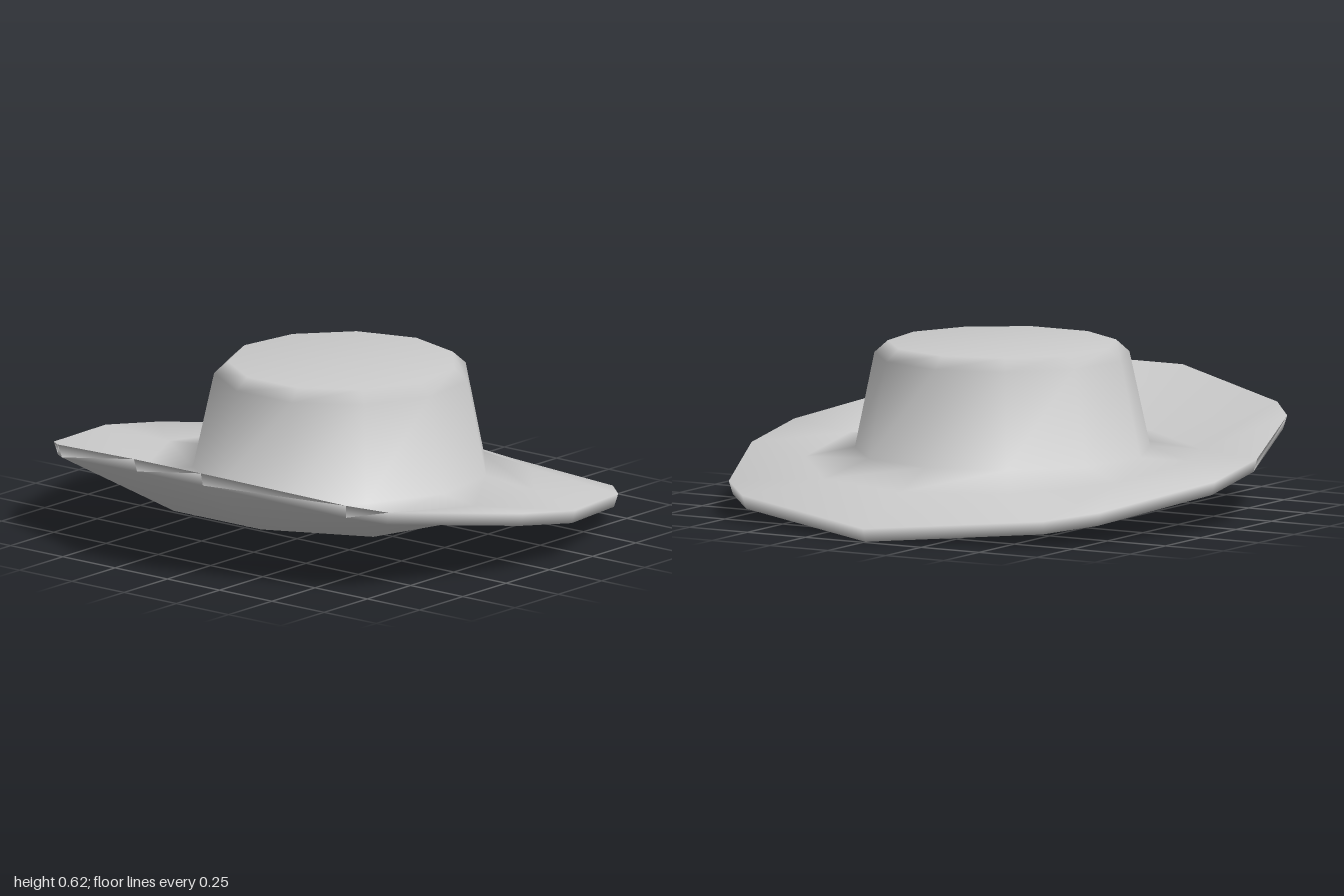
import * as THREE from 'three';

const STEP = 360 / 11;

// Mirror a half outline of [angle, radius, y] (angle 0 = back, 180 = front) into a full loop.
function mirrorLoop(half) {
  const other = half.slice(1).reverse().map(([a, r, y]) => [360 - a, r, y]);
  return [...half, ...other];
}

// Eleven-sided ring; y is one height or six heights from back to front.
function ring(r, y) {
  const half = [0, 1, 2, 3, 4, 5].map((i) => [i * STEP, r, Array.isArray(y) ? y[i] : y]);
  return mirrorLoop(half);
}

// Rim outline from [x, z, y] corners on the left half.
function rim(corners, drop, scale) {
  return mirrorLoop(corners.map(([x, z, y]) => [
    THREE.MathUtils.radToDeg(Math.atan2(x, -z)), Math.hypot(x, z) * scale, y - drop,
  ]));
}

// Skin successive loops, which may differ in corner count.
function skin(loops, shiftZ) {
  const pos = [], index = [], starts = [];
  loops.forEach((loop, k) => {
    starts.push(pos.length / 3);
    for (const [a, r, y] of loop) {
      const t = THREE.MathUtils.degToRad(a);
      pos.push(r * Math.sin(t), y, -r * Math.cos(t) + shiftZ[k]);
    }
  });
  for (let k = 0; k + 1 < loops.length; k++) {
    const A = loops[k], B = loops[k + 1];
    const angle = (L, i) => (i < L.length ? L[i][0] : 360 + L[i - L.length][0]);
    const ia = (i) => starts[k] + (i % A.length);
    const ib = (j) => starts[k + 1] + (j % B.length);
    let i = 0, j = 0;
    while (i < A.length || j < B.length) {
      const stepA = j >= B.length || (i < A.length && angle(A, i + 1) <= angle(B, j + 1));
      if (stepA) {
        if (A.length > 1) index.push(ia(i), ib(j), ia(i + 1));
        i++;
      } else {
        if (B.length > 1) index.push(ia(i), ib(j), ib(j + 1));
        j++;
      }
    }
  }
  const g = new THREE.BufferGeometry();
  g.setAttribute('position', new THREE.Float32BufferAttribute(pos, 3));
  g.setIndex(index);
  g.computeVertexNormals();
  return g;
}

export function createModel() {
  const hat = new THREE.Group();
  hat.name = 'hat';

  // Brim edge: low at the back, turned up at the front
  const edge = [
    [0, -1, 0.055], [0.65, -0.79, 0.105], [0.8, -0.64, 0.13], [1, -0.15, 0.2],
    [1, 0.15, 0.25], [0.8, 0.69, 0.33], [0.69, 0.8, 0.36], [0.16, 1, 0.435],
  ];
  const cavityEdge = ring(0.47, 0.18);

  // Underside, edge, upper brim and crown as one smooth skin
  const shell = skin([
    cavityEdge,
    ring(0.74, [0.1, 0.11, 0.14, 0.175, 0.155, 0.17]),
    rim(edge, 0.05, 0.985),
    rim(edge, 0, 1),
    ring(0.74, [0.16, 0.165, 0.19, 0.225, 0.21, 0.225]),
    ring(0.55, 0.23),
    ring(0.475, 0.585),
    ring(0.425, 0.63),
    [[0, 0, 0.63]],
  ], [-0.01, 0, 0, 0, 0, -0.01, -0.015, -0.015, -0.015]);
  const shellMesh = new THREE.Mesh(shell, new THREE.MeshStandardMaterial({ color: 0xcccccc }));
  shellMesh.name = 'brimAndCrown';

  // Faceted hollow inside the crown
  const lining = skin([
    [[0, 0, 0.58]], ring(0.35, 0.58), ring(0.4, 0.54), cavityEdge,
  ], [-0.01, -0.01, -0.01, -0.01]);
  const liningMesh = new THREE.Mesh(lining,
    new THREE.MeshStandardMaterial({ color: 0xcccccc, flatShading: true }));
  liningMesh.name = 'crownLining';

  hat.add(shellMesh, liningMesh);
  return hat;
}
